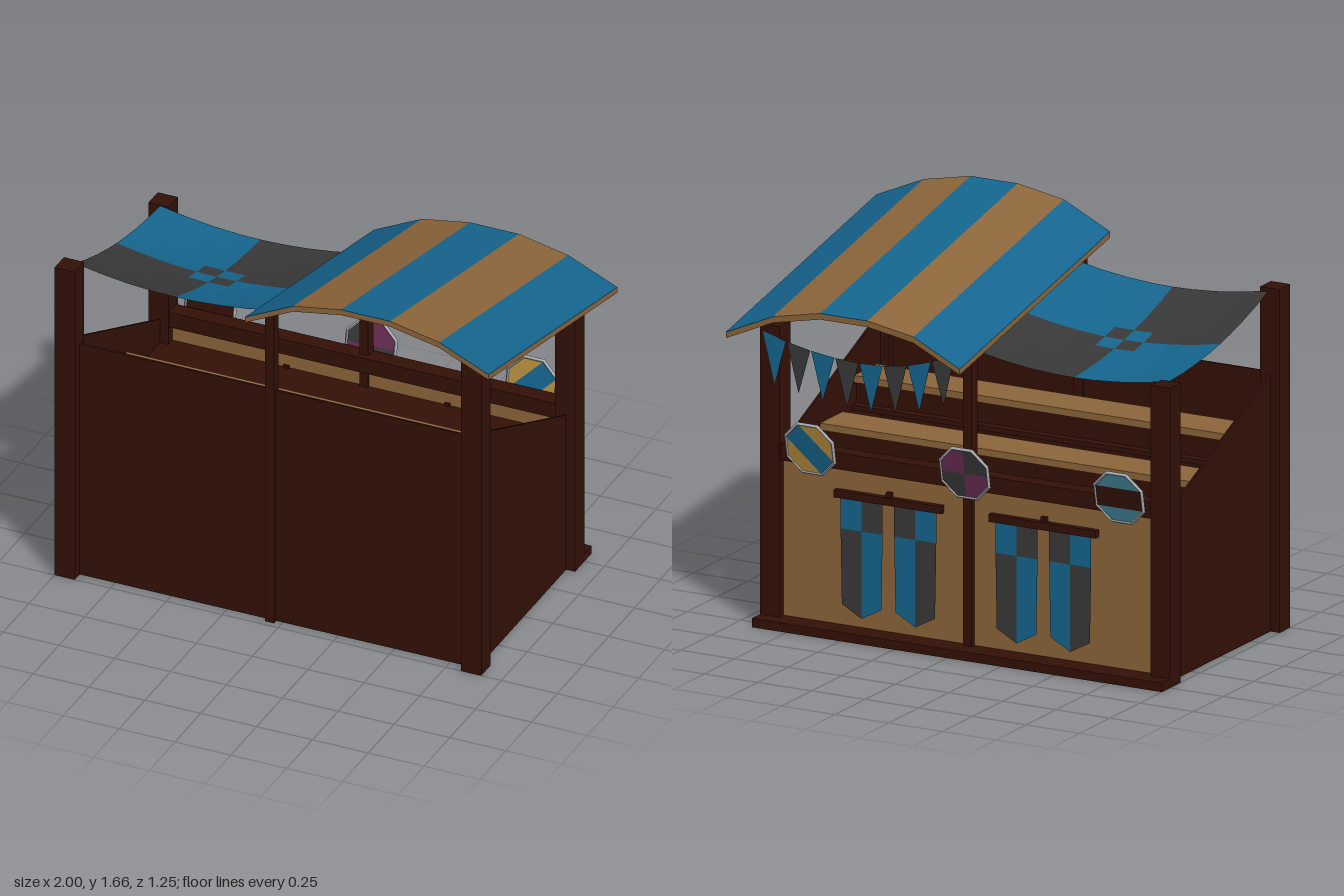
import * as THREE from 'three';

const mats = {};
function mat(color) {
  return (mats[color] ??= new THREE.MeshStandardMaterial({ color, side: THREE.DoubleSide, flatShading: true }));
}
const WOOD = 0x331007, OCHRE = 0x8c653a, BLUE = 0x15658e, DARK = 0x383838;
const YELLOW = 0xb58d3e, PURPLE = 0x6b2d55, SKY = 0x3f8196, STEEL = 0xa4a8ac;

function add(parent, name, geometry, color) {
  const mesh = new THREE.Mesh(geometry, mat(color));
  mesh.name = name;
  parent.add(mesh);
  return mesh;
}
// Box given by its min and max on each axis
function box(parent, name, color, x0, x1, y0, y1, z0, z1) {
  const g = new THREE.BoxGeometry(x1 - x0, y1 - y0, z1 - z0);
  g.translate((x0 + x1) / 2, (y0 + y1) / 2, (z0 + z1) / 2);
  return add(parent, name, g, color);
}
function polygon(points) {
  return new THREE.Shape(points.map(([x, y]) => new THREE.Vector2(x, y)));
}
function slab(points, depth) {
  return new THREE.ExtrudeGeometry(polygon(points), { depth, bevelEnabled: false });
}

// Posts, thin walls and rails
function buildFrame(root) {
  for (const [x0, x1, top] of [[-1, -0.91, 1.455], [0.82, 0.91, 1.475]]) {
    box(root, 'frontPost', WOOD, x0, x1, 0, top, 0.41, 0.5);
    box(root, 'rearPost', WOOD, x0, x1, 0, 1.27, -0.5, -0.41);
  }
  box(root, 'frontMiddlePost', WOOD, -0.07, -0.03, 0, 1.455, 0.43, 0.475);
  box(root, 'rearMiddlePost', WOOD, -0.07, -0.03, 0, 1.27, -0.49, -0.44);
  box(root, 'frontWall', WOOD, -0.955, 0.865, 0, 1.09, 0.443, 0.453);
  for (const x of [-0.948, 0.87]) {
    const g = slab([[-0.45, 0], [0.45, 0], [0.45, 1.108], [-0.45, 0.713]], 0.01);
    g.rotateY(-Math.PI / 2);
    add(root, 'sideWall', g, WOOD).position.x = x;
  }
  box(root, 'rearWall', OCHRE, -0.955, 0.865, 0, 0.72, -0.465, -0.45);
  box(root, 'rearRail', WOOD, -0.955, 0.865, 0.7, 0.77, -0.488, -0.415);
  box(root, 'rearSill', WOOD, -1, 0.91, 0, 0.038, -0.568, -0.465);
}

// Floor, low walkway behind the rail, and two raised benches
function buildTiers(root) {
  box(root, 'floor', WOOD, -0.95, 0.86, 0.39, 0.41, -0.45, 0.445);
  box(root, 'walkway', WOOD, -0.95, 0.864, 0.59, 0.62, -0.45, -0.07);
  for (const [z, y] of [[-0.09, 0.75], [0.19, 0.88]]) {
    box(root, 'step', WOOD, -0.95, 0.864, y - 0.14, y - 0.12, z - 0.02, z + 0.255);
    box(root, 'seatRiser', WOOD, -0.95, 0.864, y - 0.12, y - 0.03, z + 0.02, z + 0.04);
    box(root, 'seat', OCHRE, -0.955, 0.867, y - 0.03, y, z, z + 0.19);
  }
}

// Arched roof: ochre boards under five striped cloth strips
function buildRoof(root) {
  const roof = new THREE.Group();
  roof.name = 'archedRoof';
  const xs = [-0.09, 0.125, 0.34, 0.56, 0.78, 1], ys = [1.515, 1.62, 1.657, 1.657, 1.612, 1.515];
  const layer = (name, color, first, last, top, bottom) => {
    const upper = [], lower = [];
    for (let i = first; i <= last; i++) {
      upper.push([xs[i], ys[i] - top]);
      lower.unshift([xs[i], ys[i] - bottom]);
    }
    const g = slab([...upper, ...lower], 1.25);
    g.translate(0, 0, -0.625);
    // Slope the roof down toward the rear
    const p = g.attributes.position;
    for (let i = 0; i < p.count; i++) p.setY(i, p.getY(i) + (p.getZ(i) - 0.625) * 0.21);
    g.computeVertexNormals();
    add(roof, name, g, color);
  };
  layer('roofBoards', OCHRE, 0, 5, 0.003, 0.026);
  for (let i = 0; i < 5; i++) layer('roofStripe', i % 2 ? OCHRE : BLUE, i, i + 1, 0, 0.003);
  root.add(roof);
}

// Sagging cloth, quartered, with a small counter-coloured check in the middle
function buildCanopy(root) {
  const xs = [-0.948, -0.83, -0.71, -0.59, -0.5, -0.41, -0.29, -0.17, -0.05];
  const zs = [-0.41, -0.3, -0.18, -0.07, 0.012, 0.095, 0.2, 0.31, 0.415];
  const point = (x, z) => {
    const u = (x + 0.499) / 0.449, v = z / 0.415;
    return [x, 1.355 + 0.087 * v - 0.038 * (1 - v * v) - 0.048 * (1 - u * u), z];
  };
  const cells = { [BLUE]: [], [DARK]: [] };
  for (let i = 0; i < 8; i++) for (let j = 0; j < 8; j++) {
    const check = (i === 3 || i === 4) && (j === 3 || j === 4);
    const blue = ((i < 4) === (j < 4)) !== check;
    const a = point(xs[i], zs[j]), b = point(xs[i], zs[j + 1]);
    const c = point(xs[i + 1], zs[j + 1]), d = point(xs[i + 1], zs[j]);
    cells[blue ? BLUE : DARK].push(...a, ...b, ...c, ...a, ...c, ...d);
  }
  for (const color of [BLUE, DARK]) {
    const g = new THREE.BufferGeometry();
    g.setAttribute('position', new THREE.Float32BufferAttribute(cells[color], 3));
    g.computeVertexNormals();
    add(root, 'canopyCloth', g, color);
  }
}

// Row of pennants hanging in a curve between the rear posts
function buildPennants(root) {
  const height = x => 1.168 + (x < 0.42 ? 0.57 : 0.32) * (x - 0.42) ** 2;
  for (let i = 0; i < 8; i++) {
    const x = 0.055 + 0.1125 * i, w = 0.054;
    const g = new THREE.ShapeGeometry(polygon([[x - w, height(x - w)], [x, height(x) - 0.2], [x + w, height(x + w)]]));
    add(root, 'pennant', g, i % 2 ? BLUE : DARK).position.z = -0.501;
  }
}

// Pairs of checked banners on a wooden bar
function buildBanners(root) {
  for (const cx of [-0.4, 0.322]) {
    box(root, 'bannerBar', WOOD, cx - 0.25, cx + 0.25, 0.58, 0.612, -0.492, -0.465);
    box(root, 'bannerHook', WOOD, cx - 0.012, cx + 0.012, 0.612, 0.632, -0.485, -0.44);
    for (const side of [-1, 1]) {
      const x = cx + side * 0.125, w = 0.098;
      for (const half of [-1, 1]) {
        const swap = side * half > 0;
        const top = [[x, 0.585], [x + half * w, 0.585], [x + half * w, 0.45], [x, 0.45]];
        const low = [[x, 0.45], [x + half * w, 0.45], [x + half * w * 0.94, 0.13], [x, 0.08]];
        for (const [pts, color] of [[top, swap ? BLUE : DARK], [low, swap ? DARK : BLUE]]) {
          add(root, 'banner', new THREE.ShapeGeometry(polygon(pts)), color).position.z = -0.482;
        }
      }
    }
  }
}

// Eight-sided shields leaning outward on the rear rail
function buildShield(root, x, turn, quartered, colors) {
  const shield = new THREE.Group();
  shield.name = 'shield';
  const r = 0.117, polar = (deg, rad = r) => [rad * Math.cos(deg * Math.PI / 180), rad * Math.sin(deg * Math.PI / 180)];
  const v = k => polar(22.5 + 45 * k);
  const piece = (pts, color) => {
    const g = slab(pts, 0.008);
    g.translate(0, 0, -0.004);
    add(shield, 'shieldField', g, color);
  };
  if (quartered) {
    for (let q = 0; q < 4; q++) {
      const a = q * 90, apothem = r * Math.cos(Math.PI / 8);
      piece([[0, 0], polar(a, apothem), polar(a + 22.5), polar(a + 67.5), polar(a + 90, apothem)], colors[q % 2]);
    }
  } else {
    piece([v(0), v(1), v(2), v(3)], colors[0]);
    piece([v(7), v(0), v(3), v(4)], colors[1]);
    piece([v(4), v(5), v(6), v(7)], colors[0]);
  }
  const rim = new THREE.TorusGeometry(r, 0.009, 4, 8);
  rim.rotateZ(Math.PI / 8);
  add(shield, 'shieldRim', rim, STEEL);
  shield.position.set(x, 0.775, -0.511);
  shield.rotation.set(-0.2, 0, turn);
  root.add(shield);
}

export function createModel() {
  const root = new THREE.Group();
  root.name = 'spectatorStand';
  buildFrame(root);
  buildTiers(root);
  buildRoof(root);
  buildCanopy(root);
  buildPennants(root);
  buildBanners(root);
  buildShield(root, -0.77, 0, false, [SKY, WOOD]);
  buildShield(root, -0.05, 0, true, [PURPLE, DARK]);
  buildShield(root, 0.67, Math.PI / 4, false, [YELLOW, BLUE]);
  return root;
}
